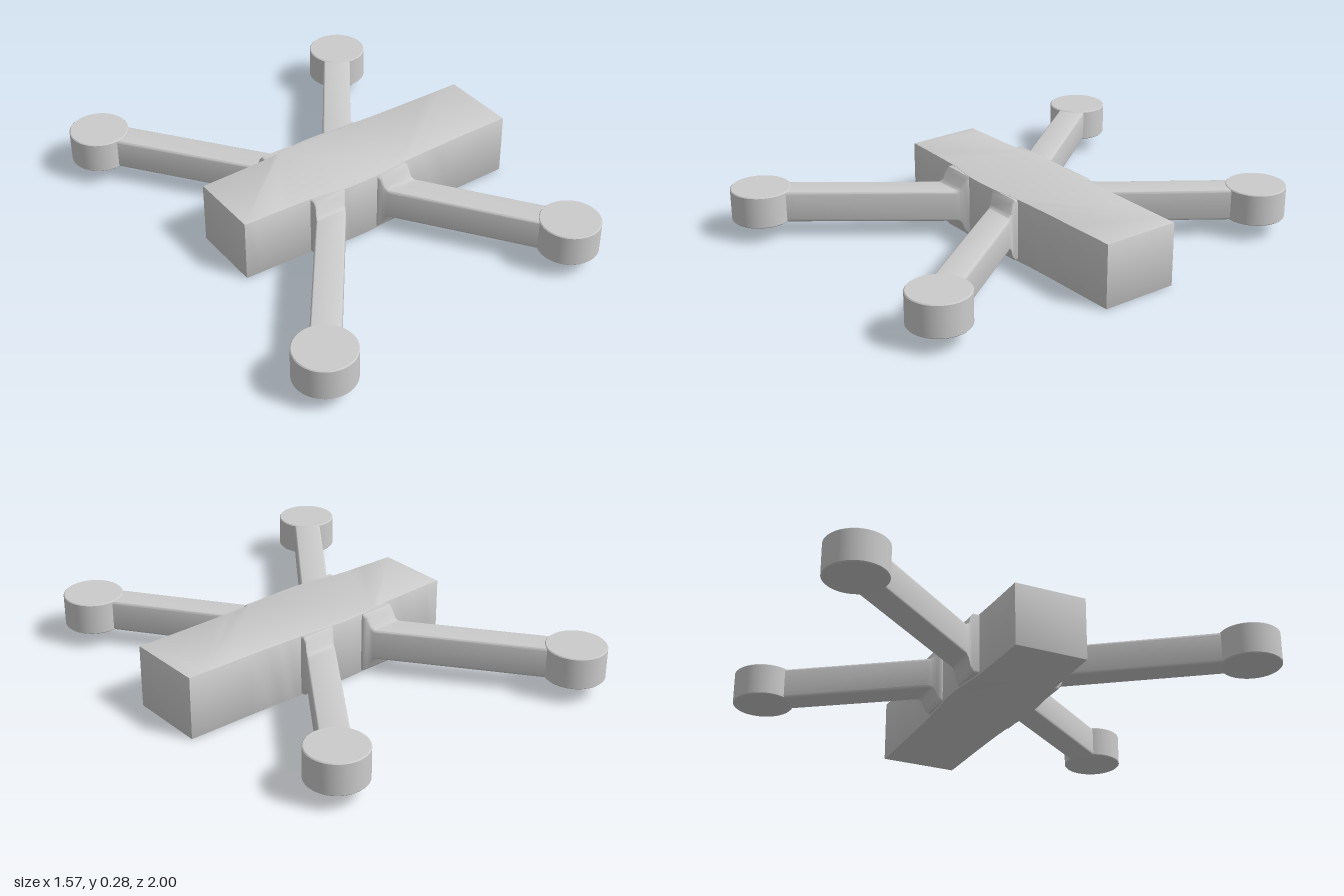
import * as THREE from 'three';
import { toCreasedNormals } from 'three/addons/utils/BufferGeometryUtils.js';

const material = new THREE.MeshStandardMaterial({ color: 0xcccccc });

function addMesh(parent, geometry, name) {
  const mesh = new THREE.Mesh(geometry, material);
  mesh.name = name;
  parent.add(mesh);
  return mesh;
}

// Block with gently bulging long sides; each side lists [x, z]
function bodyGeometry() {
  const back = [[-0.55, -0.164], [-0.24, -0.174], [-0.1, -0.192], [0, -0.198], [0.1, -0.193], [0.22, -0.184], [0.4, -0.178], [0.785, -0.174]];
  const front = [[-0.55, 0.155], [-0.24, 0.167], [-0.1, 0.188], [0, 0.193], [0.1, 0.19], [0.22, 0.178], [0.4, 0.171], [0.785, 0.167]];
  const smooth = side => new THREE.SplineCurve(side.map(([x, z]) => new THREE.Vector2(x, -z))).getPoints(28);
  const shape = new THREE.Shape([...smooth(front), ...smooth(back).reverse()]);
  const b = 0.004;
  const geo = new THREE.ExtrudeGeometry(shape, {
    depth: 0.277 - 2 * b, bevelThickness: b, bevelSize: b, bevelOffset: -b, bevelSegments: 2,
  });
  geo.rotateX(-Math.PI / 2).translate(0, b + 0.002, 0);
  return toCreasedNormals(geo, 0.7);
}

// Rounded rectangle in x and y, counter-clockwise
function roundedSection(cx, halfW, halfH, r) {
  const pts = [];
  const cy = 0.143;
  [[1, 1], [-1, 1], [-1, -1], [1, -1]].forEach(([sx, sy], corner) => {
    for (let k = 0; k <= 3; k++) {
      const a = (corner + k / 3) * Math.PI / 2;
      pts.push([cx + sx * (halfW - r) + r * Math.cos(a), cy + sy * (halfH - r) + r * Math.sin(a)]);
    }
  });
  return pts;
}

// Flared bracket narrowing into a straight arm, lofted along z
function armGeometry(podX, podZ, rootX) {
  const side = Math.sign(podZ);
  const reach = Math.abs(podZ);
  const rootZ = side > 0 ? 0.225 : 0.235;
  const cx = z => rootX + (podX - rootX) * (z - rootZ) / (reach - rootZ);
  // [z, centre x, half width, half height, corner radius]
  const stations = [
    [0.14, rootX * 0.9, 0.08, 0.134, 0.008],
    [rootZ - 0.036, rootX * 0.9, 0.078, 0.134, 0.008],
    [rootZ - 0.022, rootX * 0.93, 0.074, 0.118, 0.01],
    [rootZ - 0.01, rootX * 0.97, 0.073, 0.082, 0.011],
    [rootZ + 0.004, cx(rootZ + 0.004), 0.074, 0.069, 0.011],
    [rootZ + 0.02, cx(rootZ + 0.02), 0.076, 0.068, 0.011],
    [reach, podX, 0.076, 0.068, 0.011],
  ];
  const positions = [];
  const index = [];
  let n = 0;
  stations.forEach(([z, x, w, h, r], i) => {
    const ring = roundedSection(x, w, h, r);
    n = ring.length;
    ring.forEach(([px, py]) => positions.push(px, py, side * z));
    if (i === 0) return;
    for (let j = 0; j < n; j++) {
      const a = (i - 1) * n + j;
      const b = (i - 1) * n + (j + 1) % n;
      const c = b + n;
      const d = a + n;
      if (side > 0) index.push(a, b, c, a, c, d);
      else index.push(a, c, b, a, d, c);
    }
  });
  const geo = new THREE.BufferGeometry();
  geo.setAttribute('position', new THREE.Float32BufferAttribute(positions, 3));
  geo.setIndex(index);
  return toCreasedNormals(geo, 0.65);
}

// Round motor pod with slightly softened rims
function podGeometry() {
  const r = 0.129;
  const y0 = 0.074;
  const y1 = 0.214;
  const b = 0.004;
  const profile = [[0, y0], [r - b, y0], [r, y0 + b], [r, y1 - b], [r - b, y1], [0, y1]]
    .map(([x, y]) => new THREE.Vector2(x, y));
  return toCreasedNormals(new THREE.LatheGeometry(profile, 64), 0.5);
}

export function createModel() {
  const model = new THREE.Group();
  model.name = 'quadcopterFrame';
  addMesh(model, bodyGeometry(), 'body');

  // Four arms, each ending in a pod
  const arms = [
    ['frontLeft', 0.595, 0.815, 0.175],
    ['frontRight', -0.66, 0.866, -0.18],
    ['backLeft', 0.595, -0.824, 0.175],
    ['backRight', -0.66, -0.871, -0.18],
  ];
  for (const [name, x, z, rootX] of arms) {
    const group = new THREE.Group();
    group.name = name + 'Arm';
    addMesh(group, armGeometry(x, z, rootX), 'arm');
    addMesh(group, podGeometry(), 'motorPod').position.set(x, 0, z);
    model.add(group);
  }
  return model;
}
